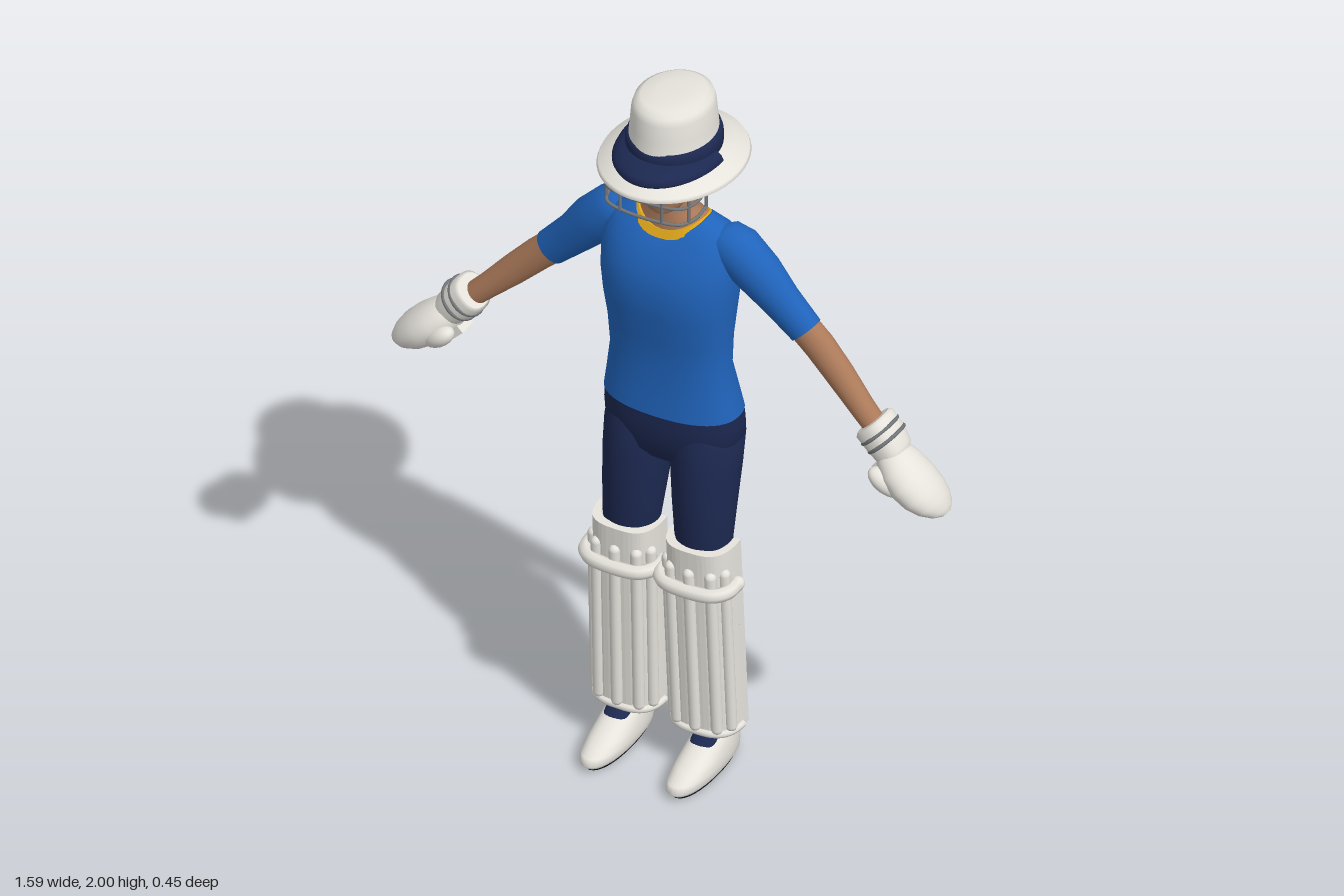
import * as THREE from 'three';

const mat = (name, color, side = THREE.FrontSide) => {
  const m = new THREE.MeshStandardMaterial({ color, side });
  m.name = name;
  return m;
};

// Smooth closed body from level rings: [y, cx, cz, rx, rz, lift of the sides]; e < 1 makes rings boxier
function loft(rings, e = 1, seg = 32) {
  const pos = [], idx = [];
  const bend = (v) => Math.sign(v) * Math.pow(Math.abs(v), e);
  const addRing = ([y, cx, cz, rx, rz, lift = 0]) => {
    const start = pos.length / 3;
    for (let j = 0; j < seg; j++) {
      const a = (j / seg) * Math.PI * 2, c = bend(Math.cos(a)), s = bend(Math.sin(a));
      pos.push(cx + rx * c, y + lift * c * c, cz + rz * s);
    }
    return start;
  };
  const sorted = [...rings].sort((a, b) => a[0] - b[0]);
  const starts = sorted.map(addRing);
  for (let i = 0; i + 1 < starts.length; i++) {
    for (let j = 0; j < seg; j++) {
      const k = (j + 1) % seg, a = starts[i] + j, b = starts[i] + k, c = starts[i + 1] + j, d = starts[i + 1] + k;
      idx.push(a, c, b, b, c, d);
    }
  }
  [sorted[0], sorted[sorted.length - 1]].forEach((r, top) => {
    const s = addRing(r), mid = pos.length / 3;
    pos.push(r[1], r[0], r[2]);
    for (let j = 0; j < seg; j++) {
      const k = (j + 1) % seg;
      idx.push(mid, s + (top ? k : j), s + (top ? j : k));
    }
  });
  const g = new THREE.BufferGeometry();
  g.setAttribute('position', new THREE.Float32BufferAttribute(pos, 3));
  g.setIndex(idx);
  g.computeVertexNormals();
  return g;
}

const tube = (pts, r, seg = 32) =>
  new THREE.TubeGeometry(new THREE.CatmullRomCurve3(pts.map((p) => new THREE.Vector3(...p))), seg, r, 8);
const lathe = (pts, start = 0, len = Math.PI * 2) =>
  new THREE.LatheGeometry(pts.map((p) => new THREE.Vector2(...p)), 48, start, len);

export function createModel() {
  const root = new THREE.Group();
  const white = mat('white', 0xe6e3dc, THREE.DoubleSide);
  const blue = mat('shirt blue', 0x2064bc);
  const navy = mat('navy', 0x1c2850, THREE.DoubleSide);
  const skin = mat('skin', 0xac7a5a);
  const gold = mat('gold', 0xdca41a);
  const grey = mat('strap grey', 0x74777a);
  const black = mat('sole black', 0x15171c);

  const add = (parent, name, geo, m, p = [0, 0, 0], s = [1, 1, 1], r = [0, 0, 0]) => {
    const mesh = new THREE.Mesh(geo, m);
    mesh.name = name;
    mesh.position.set(...p);
    mesh.scale.set(...s);
    mesh.rotation.set(...r);
    parent.add(mesh);
    return mesh;
  };
  const ball = new THREE.SphereGeometry(1, 28, 20);

  // Shirt, collar and hips
  add(root, 'shirt', loft([
    [1.065, 0, -0.005, 0.188, 0.108], [1.12, 0, 0, 0.179, 0.1], [1.21, 0, 0.01, 0.165, 0.087],
    [1.3, 0, 0.013, 0.169, 0.095], [1.38, 0, 0.015, 0.178, 0.11], [1.45, 0, 0.013, 0.185, 0.117],
    [1.51, 0, 0.008, 0.187, 0.113], [1.555, 0, 0, 0.183, 0.1, 0.02], [1.585, 0, -0.003, 0.155, 0.085, 0.04],
    [1.6, 0, -0.005, 0.1, 0.073, 0.047]], 0.85, 48), blue);
  add(root, 'collar', loft([[1.592, 0, -0.003, 0.11, 0.078, 0.044], [1.614, 0, -0.005, 0.092, 0.068, 0.034]], 0.85), gold);
  add(root, 'hips', loft([
    [0.91, 0, -0.005, 0.1, 0.07], [0.94, 0, -0.008, 0.165, 0.095], [0.99, 0, -0.012, 0.187, 0.11],
    [1.03, 0, -0.008, 0.188, 0.11], [1.07, 0, -0.005, 0.186, 0.106]], 0.85, 48), navy);

  // Neck and head
  add(root, 'neck', loft([
    [1.58, 0, -0.005, 0.1, 0.068, 0.03], [1.618, 0, -0.005, 0.09, 0.066, 0.034], [1.655, 0, 0, 0.062, 0.057],
    [1.7, 0, 0, 0.055, 0.056], [1.76, 0, -0.005, 0.06, 0.06]]), skin);
  add(root, 'head', loft([
    [1.675, 0, 0.052, 0.028, 0.03], [1.685, 0, 0.045, 0.043, 0.046], [1.71, 0, 0.028, 0.062, 0.068],
    [1.75, 0, 0.012, 0.075, 0.087], [1.8, 0, 0, 0.082, 0.1], [1.86, 0, 0, 0.08, 0.1]]), skin);
  add(root, 'nose', ball, skin, [0, 1.775, 0.1], [0.012, 0.022, 0.018]);
  add(root, 'mouth', ball, black, [0, 1.735, 0.091], [0.024, 0.003, 0.004]);

  // Hat with band, peak and cap back
  const hat = new THREE.Group();
  hat.name = 'hat';
  root.add(hat);
  add(hat, 'brimAndCrown', lathe([
    [0.09, 1.828], [0.13, 1.82], [0.18, 1.796], [0.185, 1.8], [0.181, 1.81], [0.15, 1.826], [0.118, 1.843],
    [0.111, 1.86], [0.106, 1.92], [0.102, 1.965], [0.096, 1.985], [0.08, 1.996], [0.04, 2], [0, 2]]),
  white, [0, 0, -0.003], [1, 1, 1.19]);
  add(hat, 'hatBand', lathe([[0.11, 1.835], [0.12, 1.842], [0.12, 1.87], [0.115, 1.887], [0.1, 1.888]]),
    navy, [0, 0, -0.005], [1, 1, 1.13]);
  add(hat, 'peak', lathe([[0.09, 1.828], [0.137, 1.82], [0.142, 1.832], [0.136, 1.845], [0.12, 1.856], [0.09, 1.862]],
    -Math.PI / 2, Math.PI), navy, [0, 0, -0.005], [1, 1, 1.38]);
  add(hat, 'capBack', lathe([[0.08, 1.768], [0.094, 1.768], [0.101, 1.78], [0.104, 1.8], [0.1, 1.84]],
    Math.PI * 0.62, Math.PI * 0.76), navy, [0, 0, 0], [1, 1, 1.25]);

  // Face guard
  const guard = new THREE.Group();
  guard.name = 'faceGuard';
  root.add(guard);
  for (const y of [1.765, 1.717]) {
    add(guard, 'guardBar', tube([[-0.122, y, 0.05], [-0.124, y, 0.11], [-0.105, y, 0.15], [-0.05, y, 0.166],
      [0.05, y, 0.166], [0.105, y, 0.15], [0.124, y, 0.11], [0.122, y, 0.05]], 0.0045, 48), grey);
  }
  for (const s of [-1, 1]) {
    for (const [x, z] of [[0.122, 0.05], [0.118, 0.132], [0.06, 0.165]]) {
      add(guard, 'guardUpright', new THREE.CylinderGeometry(0.0045, 0.0045, 0.1, 8), grey, [s * x, 1.765, z]);
    }
  }

  // Curved shell of a leg pad, open at the back
  const padPoint = (a, w, d) => [
    w * Math.sign(Math.cos(a)) * Math.pow(Math.abs(Math.cos(a)), 0.65), d * Math.pow(Math.sin(a), 0.65)];
  const arc = Array.from({ length: 25 }, (_, i) => Math.min((i / 24) * Math.PI, Math.PI - 1e-6));
  const shell = [...arc.map((a) => padPoint(a, 0.092, 0.108)), ...arc.slice().reverse().map((a) => padPoint(a, 0.072, 0.085))];
  const padShape = new THREE.Shape(shell.map(([x, z]) => new THREE.Vector2(x, -z)));
  const padGeo = new THREE.ExtrudeGeometry(padShape, { depth: 0.57, bevelEnabled: false });
  padGeo.rotateX(-Math.PI / 2);

  for (const s of [1, -1]) {
    const side = new THREE.Group();
    side.name = s > 0 ? 'leftLimbs' : 'rightLimbs';
    side.scale.x = s;
    root.add(side);

    // Arm hangs along local -y, turned outward
    const arm = new THREE.Group();
    arm.name = 'arm';
    arm.position.set(0.17, 1.573, 0);
    arm.rotation.z = Math.PI / 4;
    side.add(arm);
    add(arm, 'sleeve', loft([
      [0.06, -0.01, -0.008, 0.03, 0.03], [0.045, -0.005, -0.008, 0.055, 0.05], [0, 0.003, -0.01, 0.068, 0.062],
      [-0.09, 0.006, -0.015, 0.064, 0.058], [-0.18, 0, -0.023, 0.054, 0.046], [-0.278, 0, -0.027, 0.048, 0.039]]), blue);
    add(arm, 'forearm', loft([
      [-0.26, 0, -0.027, 0.044, 0.036], [-0.33, 0.002, -0.028, 0.043, 0.037], [-0.42, 0.002, -0.022, 0.04, 0.035],
      [-0.52, 0.003, -0.01, 0.033, 0.032], [-0.6, 0.005, -0.003, 0.03, 0.03]]), skin);

    // Glove
    const glove = new THREE.Group();
    glove.name = 'glove';
    arm.add(glove);
    add(glove, 'cuff', loft([
      [-0.558, 0.012, 0, 0.045, 0.05], [-0.565, 0.012, 0, 0.053, 0.057], [-0.61, 0.01, 0, 0.052, 0.056],
      [-0.65, 0.008, 0.002, 0.046, 0.052], [-0.665, 0.006, 0.003, 0.038, 0.045]], 0.85), white);
    for (const y of [-0.588, -0.615]) {
      add(glove, 'cuffStrap', new THREE.TorusGeometry(0.053, 0.005, 8, 36), grey,
        [0.011, y, 0], [1, 1.07, 1], [Math.PI / 2, 0, 0]);
    }
    add(glove, 'mitten', loft([
      [-0.632, 0, 0.005, 0.028, 0.035], [-0.65, 0, 0.007, 0.042, 0.052], [-0.69, 0.001, 0.012, 0.052, 0.07],
      [-0.735, 0.004, 0.014, 0.055, 0.077], [-0.78, 0.008, 0.013, 0.05, 0.074], [-0.815, 0.012, 0.01, 0.039, 0.062],
      [-0.842, 0.016, 0.007, 0.024, 0.041], [-0.855, 0.018, 0.005, 0.009, 0.017]]), white);
    add(glove, 'thumb', ball, white, [-0.03, -0.7, 0.055], [0.028, 0.055, 0.033], [0.25, 0, 0.15]);
    add(glove, 'palmPatch', new THREE.BoxGeometry(0.03, 0.05, 0.055), white, [-0.045, -0.675, 0.005]);

    // Trouser leg
    add(side, 'trouserLeg', loft([
      [0.09, 0.123, 0, 0.04, 0.042], [0.2, 0.12, 0, 0.043, 0.045], [0.35, 0.115, 0.01, 0.052, 0.055],
      [0.45, 0.112, 0.017, 0.055, 0.054], [0.55, 0.108, 0.023, 0.06, 0.057], [0.7, 0.103, 0.027, 0.076, 0.07],
      [0.8, 0.1, 0.016, 0.083, 0.085], [0.9, 0.097, 0.002, 0.089, 0.1], [0.98, 0.096, -0.01, 0.09, 0.106],
      [1.03, 0.096, -0.01, 0.07, 0.09]]), navy);

    // Leg pad with ribs, knee roll and straps
    const pad = new THREE.Group();
    pad.name = 'legPad';
    pad.position.set(0.1125, 0.125, -0.022);
    pad.rotation.set(0.05, 0, 0.012);
    side.add(pad);
    add(pad, 'padShell', padGeo, white);
    for (let i = 0; i < 5; i++) {
      const [x, z] = padPoint(Math.PI * (0.17 + i * 0.165), 0.09, 0.108);
      add(pad, 'padRib', new THREE.CapsuleGeometry(0.0155, 0.475, 6, 12), white, [x, 0.265, z]);
    }
    add(pad, 'bottomTrim', tube(arc.slice(1, -1).map((a) => {
      const [x, z] = padPoint(a, 0.092, 0.108);
      return [x, 0.01, z];
    }), 0.01, 48), white);
    const roll = [[-0.1, 0.04], [-0.096, 0.085], [-0.07, 0.115], [0, 0.126], [0.07, 0.115], [0.096, 0.085], [0.1, 0.04]];
    add(pad, 'kneeRoll', tube(roll.map(([x, z]) => [x, 0.462, z]), 0.019, 48), white);
    for (const x of [-0.1, 0.1]) add(pad, 'kneeRollEnd', ball, white, [x, 0.462, 0.04], [0.019, 0.019, 0.019]);
    for (const [y, z] of [[0.44, -0.046], [0.25, -0.062]]) {
      add(side, 'padStrap', tube([[0.03, y, 0.02], [0.04, y, -0.015], [0.075, y, z + 0.008], [0.115, y, z],
        [0.155, y, z + 0.008], [0.188, y, -0.015], [0.195, y, 0.02]], 0.006), grey);
    }

    // Shoe
    const shoe = new THREE.Group();
    shoe.name = 'shoe';
    shoe.position.x = 0.124;
    side.add(shoe);
    add(shoe, 'sole', loft([[0, 0, 0.065, 0.043, 0.142], [0.014, 0, 0.068, 0.048, 0.15]], 0.9), black);
    add(shoe, 'shoeBody', loft([
      [0.008, 0, 0.067, 0.046, 0.148], [0.02, 0, 0.069, 0.053, 0.158], [0.038, 0, 0.064, 0.054, 0.153],
      [0.058, 0, 0.042, 0.052, 0.13], [0.08, 0, 0.017, 0.048, 0.104], [0.1, 0, -0.005, 0.043, 0.08],
      [0.11, 0, -0.015, 0.038, 0.062]], 0.9), white);
    add(shoe, 'heelTab', loft([[0.085, 0, -0.042, 0.04, 0.048], [0.108, 0, -0.04, 0.041, 0.044],
      [0.124, 0, -0.036, 0.034, 0.036]]), gold);
    add(shoe, 'tongue', ball, navy, [0, 0.094, 0.062], [0.034, 0.016, 0.055], [0.5, 0, 0]);
  }
  return root;
}
